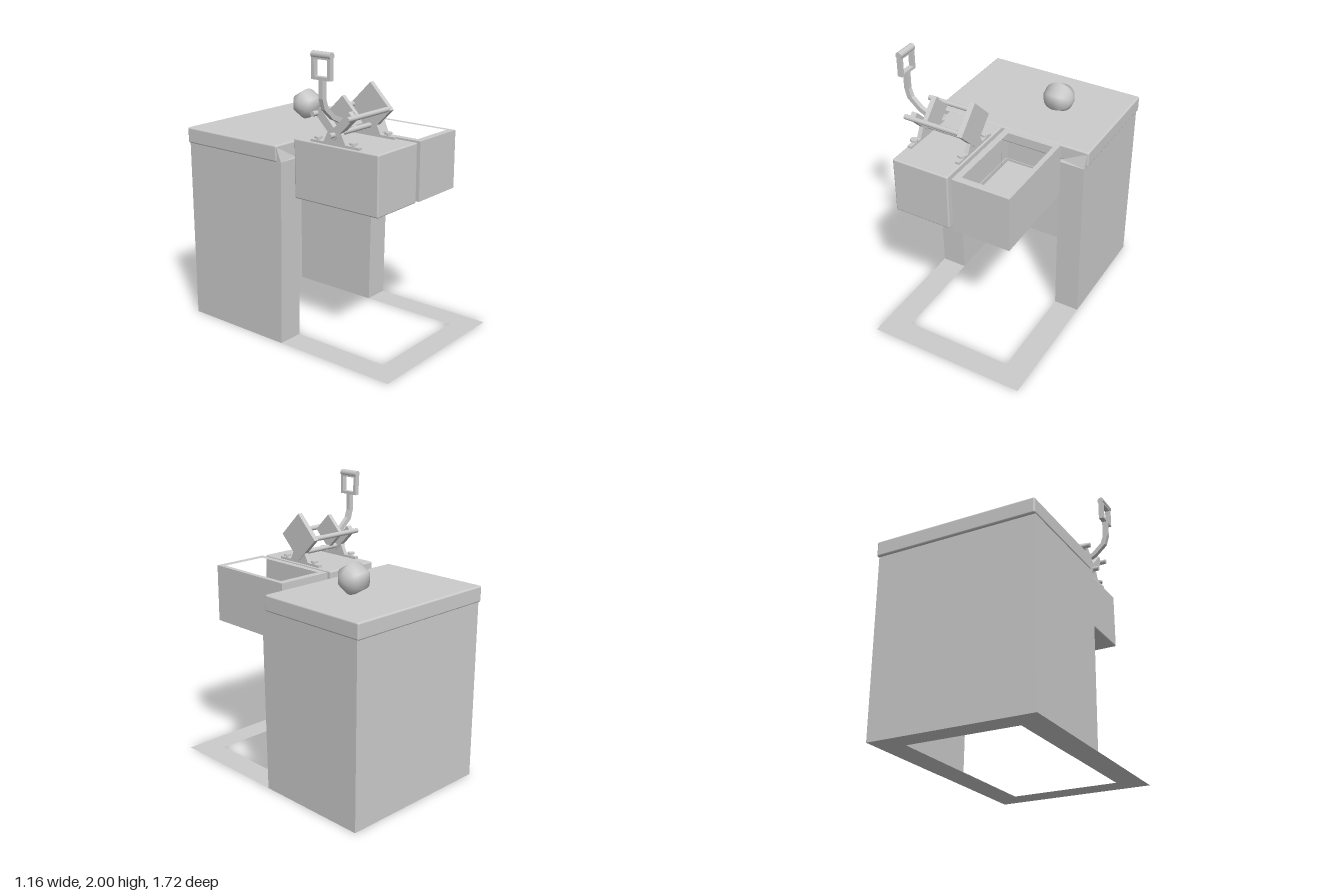
import * as THREE from 'three';
import { RoundedBoxGeometry } from 'three/addons/geometries/RoundedBoxGeometry.js';
import { ConvexGeometry } from 'three/addons/geometries/ConvexGeometry.js';

const material = new THREE.MeshStandardMaterial({ color: 0xcccccc });
const sheet = new THREE.MeshStandardMaterial({ color: 0xcccccc, side: THREE.DoubleSide });

function part(parent, name, geometry, x = 0, y = 0, z = 0, mat = material) {
  const mesh = new THREE.Mesh(geometry, mat);
  mesh.name = name;
  mesh.position.set(x, y, z);
  parent.add(mesh);
  return mesh;
}

const polygon = (pts, Type = THREE.Shape) => new Type(pts.map(p => new THREE.Vector2(...p)));
const rect = (x0, y0, x1, y1) => [[x0, y0], [x1, y0], [x1, y1], [x0, y1]];
const diamond = (u, v, r) => [[u, v - r], [u + r, v], [u, v + r], [u - r, v]];

function extrude(outline, holes, depth) {
  const shape = polygon(outline);
  shape.holes = holes.map(h => polygon(h, THREE.Path));
  return new THREE.ExtrudeGeometry(shape, { depth, bevelEnabled: false });
}

// Outline in (z, y), thickness along x, centred on x = 0
const plateX = (outline, holes, t) =>
  extrude(outline, holes, t).translate(0, 0, -t / 2).rotateY(-Math.PI / 2);

// Outline in (x, z), rising along y from 0
const riseY = (outline, holes, h) =>
  extrude(outline.map(([x, z]) => [x, -z]), holes.map(hole => hole.map(([x, z]) => [x, -z])), h)
    .rotateX(-Math.PI / 2);

function createCabinet() {
  const g = new THREE.Group();
  g.name = 'cabinet';

  // U-shaped body, its front edges leaning slightly forward toward the top
  const body = riseY([[-0.58, -0.845], [0.565, -0.845], [0.565, 0], [0.385, 0],
    [0.385, -0.69], [-0.4, -0.69], [-0.4, 0], [-0.58, 0]], [], 1.265);
  const p = body.attributes.position;
  for (let i = 0; i < p.count; i++) {
    if (p.getZ(i) > -0.1) p.setZ(i, -0.025 * (1 - p.getY(i) / 1.265));
  }
  body.computeVertexNormals();
  part(g, 'cabinetBody', body);

  part(g, 'worktop', new RoundedBoxGeometry(1.16, 0.11, 0.825, 2, 0.012), -0.005, 1.315, -0.45);

  // Wedges between the body's front corners and the worktop
  for (const [outer, inner] of [[-0.58, -0.4], [0.565, 0.385]]) {
    const pts = [[outer, 1.26, 0], [outer, 1.36, -0.04], [outer, 1.26, -0.05],
      [inner, 1.26, -0.03], [inner, 1.26, -0.05]];
    part(g, 'cornerWedge', new ConvexGeometry(pts.map(v => new THREE.Vector3(...v))));
  }

  // Flat floor frame
  const frame = polygon(rect(-0.58, -0.86, 0.565, 0.845));
  frame.holes.push(polygon(rect(-0.4, -0.69, 0.385, 0.69), THREE.Path));
  part(g, 'floorFrame', new THREE.ShapeGeometry(frame).rotateX(-Math.PI / 2), 0, 0.001, 0, sheet);
  return g;
}

function createBin() {
  const g = new THREE.Group();
  g.name = 'openBin';
  const outer = rect(-0.015, 0, 0.395, 0.675);
  const inner = rect(0.03, 0.05, 0.36, 0.625);
  part(g, 'binSkirt', riseY(outer, [rect(-0.01, 0.005, 0.39, 0.67)], 0.16), 0, 1.0, 0);
  part(g, 'binWalls', riseY(outer, [inner], 0.24), 0, 1.16, 0);
  part(g, 'binFloor', riseY(inner, [], 0.02), 0, 1.16, 0);
  return g;
}

function createCutter() {
  const g = new THREE.Group();
  g.name = 'leverCutter';
  const cz = 0.325, cy = 1.585;

  // Feet, one at each end
  for (const x of [-0.43, -0.07]) {
    part(g, 'footBar', new THREE.BoxGeometry(0.03, 0.016, 0.39), x, 1.408, cz);
    part(g, 'footStand', plateX([[cz - 0.09, 1.41], [cz + 0.09, 1.41], [cz + 0.045, 1.5], [cz - 0.045, 1.5]],
      [], 0.03), x);
    for (const dz of [-0.14, 0.14]) {
      part(g, 'footStud', new THREE.CylinderGeometry(0.012, 0.012, 0.03, 8), x, 1.42, cz + dz);
      part(g, 'footKnob', new THREE.CylinderGeometry(0.026, 0.026, 0.012, 12), x, 1.434, cz + dz);
    }
  }

  // Guide rods
  for (const [y, dz] of [[1.59, -0.138], [1.59, 0.138], [1.47, 0]]) {
    part(g, 'guideRod', new THREE.CylinderGeometry(0.017, 0.017, 0.44, 10).rotateZ(Math.PI / 2),
      -0.27, y, cz + dz);
  }

  // Perforated diamond plate
  const holes = [];
  const step = 0.04 * Math.SQRT1_2;
  for (let i = -2; i <= 2; i++) {
    for (let j = -2; j <= 2; j++) {
      holes.push(diamond(cz + (i - j) * step, cy + (i + j) * step, 0.017));
    }
  }
  part(g, 'gridPlate', plateX(diamond(cz, cy, 0.165), holes, 0.035), -0.067);

  // Sliding pusher and the V-shaped rear frame
  part(g, 'pusher', plateX(diamond(cz, cy, 0.12), [], 0.03), -0.352);
  part(g, 'rearFrame', plateX([[cz, 1.435], [cz + 0.155, 1.59], [cz + 0.115, 1.63],
    [cz, 1.515], [cz - 0.115, 1.63], [cz - 0.155, 1.59]], [], 0.038), -0.43);

  // Bent lever with a framed grip
  part(g, 'leverArm', extrude([[-0.573, 1.84], [-0.573, 1.715], [-0.552, 1.645], [-0.47, 1.572],
    [-0.375, 1.53], [-0.365, 1.56], [-0.455, 1.6], [-0.52, 1.66], [-0.538, 1.715], [-0.538, 1.84]],
    [], 0.032), 0, 0, cz - 0.016);
  part(g, 'gripFrame', plateX(rect(cz - 0.073, 1.828, cz + 0.073, 1.98),
    [rect(cz - 0.052, 1.848, cz + 0.052, 1.952)], 0.035), -0.555);
  part(g, 'gripBar', new THREE.CylinderGeometry(0.023, 0.023, 0.15, 12).rotateX(Math.PI / 2),
    -0.555, 1.977, cz);
  return g;
}

export function createModel() {
  const model = new THREE.Group();
  model.name = 'choppingStation';
  model.add(createCabinet(), createBin(), createCutter());
  part(model, 'closedBox', new RoundedBoxGeometry(0.41, 0.4, 0.675, 2, 0.01), -0.25, 1.2, 0.3375);

  // Six-sided ball with its poles along x
  part(model, 'ball', new THREE.SphereGeometry(0.108, 6, 14).rotateZ(Math.PI / 2), 0.16, 1.473, -0.42);
  return model;
}
